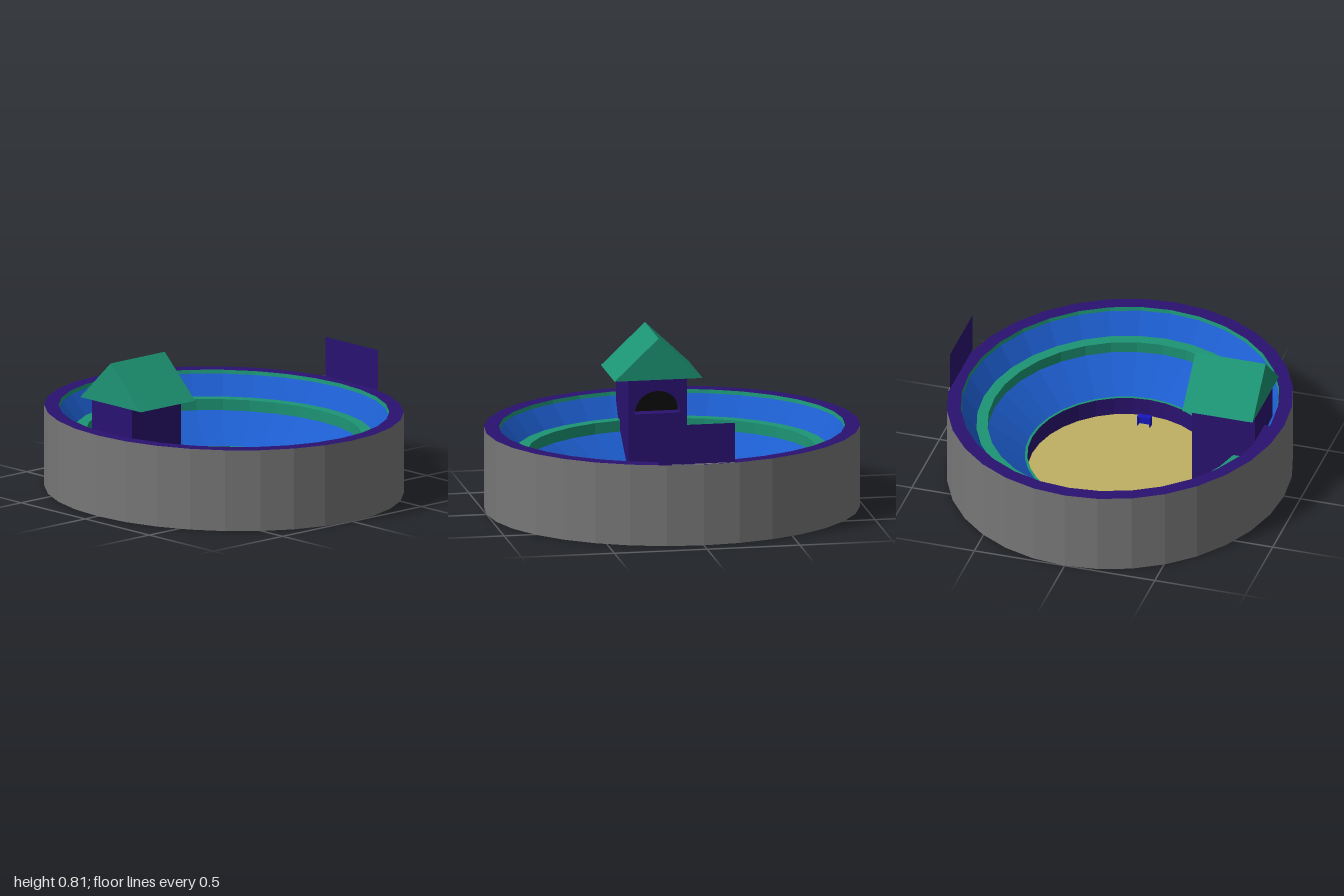
import * as THREE from 'three';

const COLORS = {
  stone: 0x777777, purple: 0x2a1270, green: 0x1c9474, blue: 0x1c5ccc,
  sand: 0xbfb062, black: 0x0a0a0a, red: 0xc01818, goalBlue: 0x1818c0,
};
const DEPTH = 0.91; // the bowl is an ellipse, shorter along z

function mat(color) {
  return new THREE.MeshStandardMaterial({ color: COLORS[color], flatShading: true, side: THREE.DoubleSide });
}

function add(parent, name, geometry, color, x = 0, y = 0, z = 0) {
  const mesh = new THREE.Mesh(geometry, mat(color));
  mesh.name = name;
  mesh.position.set(x, y, z);
  parent.add(mesh);
  return mesh;
}

// Box given by its min and max corners
function box(parent, name, color, [x0, y0, z0], [x1, y1, z1]) {
  return add(parent, name, new THREE.BoxGeometry(x1 - x0, y1 - y0, z1 - z0), color,
    (x0 + x1) / 2, (y0 + y1) / 2, (z0 + z1) / 2);
}

// Elliptical band swept from a [radius, height] profile
function band(parent, name, color, profile) {
  const geo = new THREE.LatheGeometry(profile.map(([r, y]) => new THREE.Vector2(r, y)), 32);
  geo.scale(1, 1, DEPTH);
  return add(parent, name, geo, color);
}

// Small open-fronted goal; dir points toward the middle of the field
function goal(parent, name, color, x, dir) {
  const g = new THREE.Group();
  g.name = name;
  g.position.set(x, 0.01, 0);
  box(g, 'goalTop', color, [-0.016, 0.05, -0.037], [0.016, 0.056, 0.037]);
  box(g, 'goalBack', color, [-dir * 0.013 - 0.003, 0, -0.037], [-dir * 0.013 + 0.003, 0.05, 0.037]);
  for (const s of [-1, 1]) {
    box(g, 'goalSide', color, [-0.016, 0, s * 0.034 - 0.003], [0.016, 0.05, s * 0.034 + 0.003]);
  }
  parent.add(g);
}

export function createModel() {
  const model = new THREE.Group();
  model.name = 'stadium';

  // Bowl, from the outside wall down to the field
  band(model, 'outerWall', 'stone', [[0, 0], [1, 0], [1, 0.44]]);
  band(model, 'rim', 'purple', [[1, 0.44], [0.92, 0.44]]);
  band(model, 'upperTrim', 'green', [[0.92, 0.44], [0.915, 0.42]]);
  band(model, 'upperSeats', 'blue', [[0.915, 0.42], [0.83, 0.315]]);
  band(model, 'walkway', 'green', [[0.83, 0.315], [0.765, 0.315], [0.765, 0.255]]);
  band(model, 'lowerSeats', 'blue', [[0.765, 0.255], [0.55, 0.11]]);
  band(model, 'lowerTrim', 'green', [[0.55, 0.11], [0.535, 0.11]]);
  band(model, 'fieldWall', 'purple', [[0.535, 0.11], [0.535, 0.01]]);
  band(model, 'field', 'sand', [[0.535, 0.01], [0, 0.01]]);

  // Goals
  goal(model, 'redGoal', 'red', -0.44, 1);
  goal(model, 'blueGoal', 'goalBlue', 0.44, -1);

  // Thin screen standing on the back rim, with the stone ledge behind it
  const screen = new THREE.PlaneGeometry(0.41, 0.215);
  add(model, 'screen', screen, 'purple', 0.035, 0.5475, -0.89);
  const ledge = new THREE.Shape([[-0.195, 0.89], [0.195, 0.89], [0.195, 0.8925], [0, 0.91], [-0.195, 0.8925]]
    .map(([x, y]) => new THREE.Vector2(x, y)));
  add(model, 'screenLedge', new THREE.ShapeGeometry(ledge), 'stone', 0, 0.4415, 0).rotation.x = -Math.PI / 2;

  // Tower with an arched window looking over the field
  const tower = new THREE.Group();
  tower.name = 'tower';
  model.add(tower);
  box(tower, 'towerBody', 'purple', [-0.165, 0.005, 0.52], [0.15, 0.59, 0.8]);
  box(tower, 'towerStep', 'purple', [-0.18, 0.3, 0.79], [0, 0.425, 0.83]);

  const face = new THREE.Shape();
  face.moveTo(-0.165, 0.005).lineTo(0.15, 0.005).lineTo(0.15, 0.59).lineTo(-0.165, 0.59).closePath();
  const arch = new THREE.Path();
  arch.moveTo(0.115, 0.4).absarc(-0.0075, 0.4, 0.1225, 0, Math.PI, false).closePath();
  face.holes.push(arch);
  add(tower, 'towerFace', new THREE.ExtrudeGeometry(face, { depth: 0.07, bevelEnabled: false, curveSegments: 10 }),
    'purple', 0, 0, 0.45);
  const dark = new THREE.CircleGeometry(0.1225, 16, 0, Math.PI);
  add(tower, 'windowOpening', dark, 'black', -0.0075, 0.4, 0.517);

  // Gabled roof with its ridge along z
  const gable = new THREE.Shape();
  gable.moveTo(-0.245, 0.59).lineTo(0.23, 0.59).lineTo(-0.0075, 0.815).closePath();
  add(tower, 'roof', new THREE.ExtrudeGeometry(gable, { depth: 0.39, bevelEnabled: false }), 'green', 0, 0, 0.42);

  return model;
}
